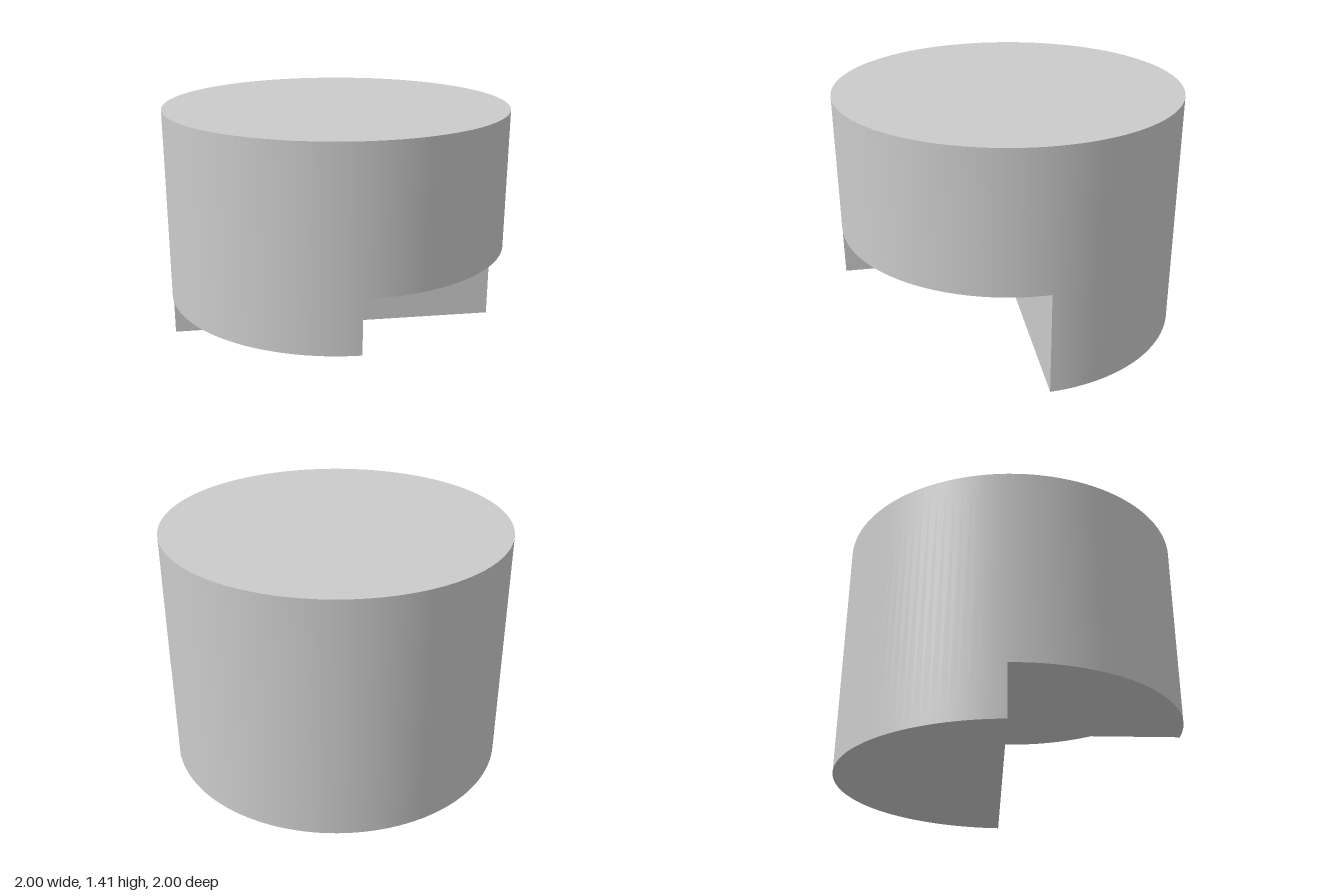
import * as THREE from 'three';

const TOP = 1.412, LEFT_Y = 0.292, RIGHT_Y = 0.603; // top and undersides of the two cuts
const CUT_Z = -0.048, CUT_X = -0.01;                // planes of the step walls

export function createModel() {
  const group = new THREE.Group();
  const material = new THREE.MeshStandardMaterial({ color: 0xcccccc });
  const add = (name, geometry) => {
    const mesh = new THREE.Mesh(geometry, material);
    mesh.name = name;
    group.add(mesh);
    return mesh;
  };

  // Angles run from +z towards +x
  const side = Math.PI / 2 + Math.asin(-CUT_Z);
  const divide = Math.asin(CUT_X);
  const corner = new THREE.Vector2(CUT_X, CUT_Z);

  // Curved wall from the underside to the top, plus the flat underside
  function sector(name, start, end, bottom, inner) {
    const segments = Math.ceil((end - start) / (Math.PI / 64));
    const wall = new THREE.CylinderGeometry(1, 1, TOP - bottom, segments, 1, true, start, end - start);
    add(name + 'Wall', wall.translate(0, (TOP + bottom) / 2, 0));

    const outline = [...inner];
    for (let i = 0; i <= segments; i++) {
      const a = start + (end - start) * i / segments;
      outline.push(new THREE.Vector2(Math.sin(a), Math.cos(a)));
    }
    const under = new THREE.ShapeGeometry(new THREE.Shape(outline));
    add(name + 'Underside', under.rotateX(Math.PI / 2).translate(0, bottom, 0));
  }
  sector('shallowCut', -side, divide, LEFT_Y, [corner]);
  sector('deepCut', divide, side, RIGHT_Y, [corner]);
  sector('base', side, 2 * Math.PI - side, 0, []);

  // Top disc
  add('top', new THREE.CircleGeometry(1, 128).rotateX(-Math.PI / 2).translate(0, TOP, 0));

  // Vertical walls facing the front, up to each underside
  const half = Math.sqrt(1 - CUT_Z * CUT_Z);
  for (const [name, x0, x1, y] of [['shallowCutBack', -half, CUT_X, LEFT_Y], ['deepCutBack', CUT_X, half, RIGHT_Y]]) {
    add(name, new THREE.PlaneGeometry(x1 - x0, y).translate((x0 + x1) / 2, y / 2, CUT_Z));
  }

  // Step between the two undersides, facing +x
  const front = Math.cos(divide);
  add('dividerStep', new THREE.PlaneGeometry(front - CUT_Z, RIGHT_Y - LEFT_Y).rotateY(Math.PI / 2)
    .translate(CUT_X, (LEFT_Y + RIGHT_Y) / 2, (front + CUT_Z) / 2));

  return group;
}
